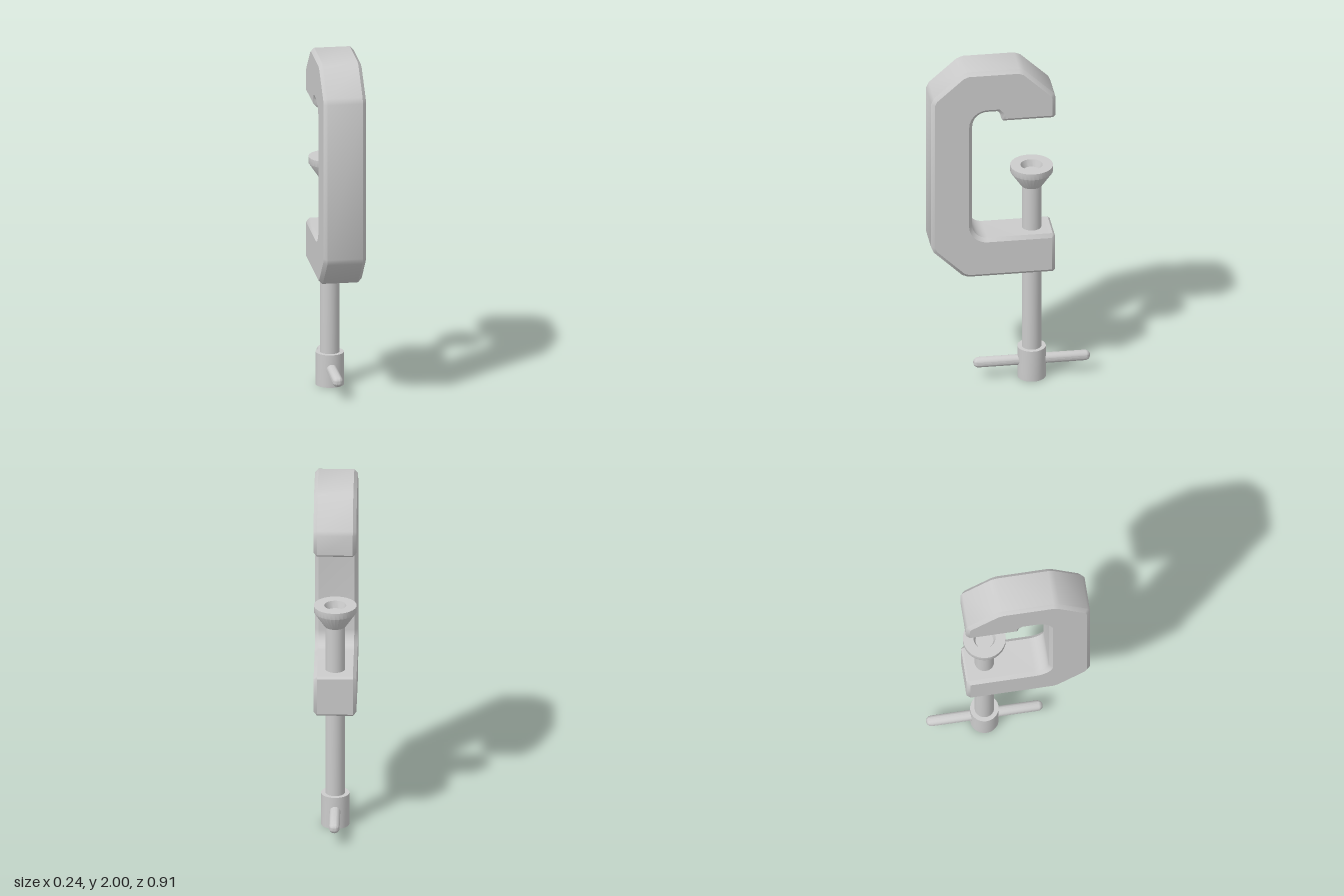
import * as THREE from 'three';
import { toCreasedNormals } from 'three/addons/utils/BufferGeometryUtils.js';

const SCREW_Z = -0.125;
const BEVEL = 0.02;

export function createModel() {
  const clamp = new THREE.Group();
  clamp.name = 'gClamp';
  const material = new THREE.MeshStandardMaterial({ color: 0xcccccc });

  function add(name, geometry, y = 0, z = 0) {
    const mesh = new THREE.Mesh(toCreasedNormals(geometry, 0.6), material);
    mesh.name = name;
    mesh.position.set(0, y, z);
    clamp.add(mesh);
  }

  // C-shaped frame: corners as [z, y, corner size, rounded]
  const corners = [
    [0.457, 1.835, 0.02], [0.27, 2.0, 0.02], [-0.06, 2.0, 0.02], [-0.245, 1.825, 0.015],
    [-0.245, 1.68, 0.012], [0.06, 1.68, 0.012], [0.06, 1.742, 0.022],
    [0.225, 1.742, 0.085, true], [0.225, 0.945, 0.085, true],
    [-0.242, 0.945, 0.012], [-0.242, 0.705, 0.012], [0.268, 0.705, 0.02], [0.457, 0.887, 0.02],
  ];
  const outline = new THREE.Shape();
  corners.forEach(([z, y, size, rounded], i) => {
    const corner = new THREE.Vector2(z, y);
    const towards = (j) => {
      const other = corners[(j + corners.length) % corners.length];
      const step = new THREE.Vector2(other[0], other[1]).sub(corner).setLength(size);
      return step.add(corner);
    };
    const a = towards(i - 1), b = towards(i + 1);
    if (i === 0) outline.moveTo(a.x, a.y);
    else outline.lineTo(a.x, a.y);
    if (rounded) {
      // near-circular quarter turn
      const c1 = a.clone().lerp(corner, 0.55), c2 = b.clone().lerp(corner, 0.55);
      outline.bezierCurveTo(c1.x, c1.y, c2.x, c2.y, b.x, b.y);
    } else {
      outline.lineTo(b.x, b.y);
    }
  });
  outline.closePath();
  const frame = new THREE.ExtrudeGeometry(outline, {
    depth: 0.2, curveSegments: 8, bevelSegments: 1,
    bevelThickness: BEVEL, bevelSize: BEVEL, bevelOffset: -BEVEL,
  });
  frame.translate(0, 0, -0.1).rotateY(-Math.PI / 2);
  add('frame', frame);

  // Screw rod
  add('screw', new THREE.CylinderGeometry(0.055, 0.055, 1.11, 24), 0.705, SCREW_Z);

  // Flared swivel pad with a recess in its top
  const padProfile = [
    [0, 1.21], [0.06, 1.21], [0.12, 1.298], [0.12, 1.335],
    [0.062, 1.335], [0.05, 1.295], [0, 1.295],
  ].map(([r, y]) => new THREE.Vector2(r, y));
  add('swivelPad', new THREE.LatheGeometry(padProfile, 32), 0, SCREW_Z);

  // Hub and sliding handle bar
  add('handleHub', new THREE.CylinderGeometry(0.08, 0.08, 0.19, 24), 0.095, SCREW_Z);
  add('handleBar', new THREE.CapsuleGeometry(0.03, 0.6, 6, 20).rotateX(Math.PI / 2), 0.105, SCREW_Z);

  return clamp;
}
